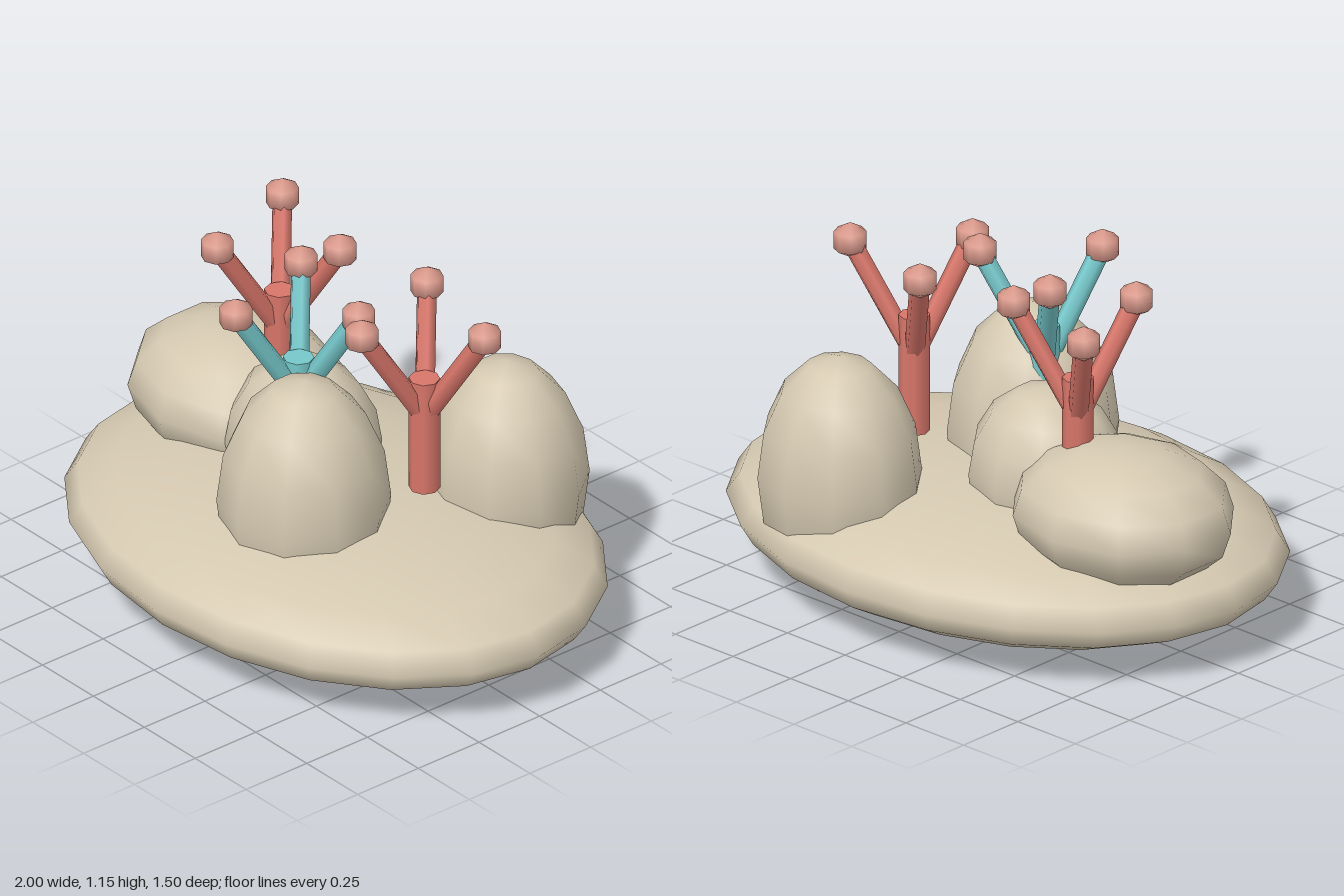
import * as THREE from 'three';

export function createModel() {
  const model = new THREE.Group();
  model.name = 'coralReef';
  const material = (name, color) => {
    const m = new THREE.MeshStandardMaterial({ color });
    m.name = name;
    return m;
  };
  const sand = material('sandstone', 0xd4c8b0);
  const red = material('redCoral', 0xd8766a);
  const teal = material('tealCoral', 0x76c8cb);
  const pink = material('pinkTip', 0xdc9a8c);

  const add = (parent, name, geometry, mat) => {
    const mesh = new THREE.Mesh(geometry, mat);
    mesh.name = name;
    parent.add(mesh);
    return mesh;
  };

  // Broad oval reef bed
  const bed = new THREE.SphereGeometry(1, 20, 10).scale(1, 0.22, 0.75);
  add(model, 'reefBed', bed, sand).position.y = 0.22;

  // Rounded rocks: name, centre, radii
  const rocks = [
    ['wideRock', [-0.58, 0.46, -0.085], [0.39, 0.225, 0.328]],
    ['smallRock', [-0.19, 0.46, -0.025], [0.265, 0.295, 0.24]],
    ['tallFrontRock', [0.08, 0.46, 0.2], [0.28, 0.43, 0.275]],
    ['tallBackRock', [0.325, 0.425, -0.43], [0.275, 0.407, 0.256]],
  ];
  for (const [name, centre, radii] of rocks) {
    const rock = new THREE.SphereGeometry(1, 10, 8).rotateY(Math.PI / 2).scale(...radii);
    add(model, name, rock, sand).position.set(...centre);
  }

  // Branching coral: trunk, three slanted branches, a round tip on each
  const trunk = new THREE.CylinderGeometry(0.05, 0.05, 0.4, 8);
  const tip = new THREE.SphereGeometry(0.06, 8, 3);
  const up = new THREE.Vector3(0, 1, 0);
  const addCoral = (name, x, z, mat) => {
    const coral = new THREE.Group();
    coral.name = name;
    coral.position.set(x, 0, z);
    add(coral, 'trunk', trunk, mat).position.y = 0.68;
    const start = new THREE.Vector3(0, 0.74, 0);
    for (let i = 0; i < 3; i++) {
      const angle = THREE.MathUtils.degToRad(-18 + i * 120);
      const end = new THREE.Vector3(0.224 * Math.cos(angle), 1.095, 0.224 * Math.sin(angle));
      const along = end.clone().sub(start);
      const branch = add(coral, 'branch', new THREE.CylinderGeometry(0.033, 0.033, along.length(), 6), mat);
      branch.position.copy(start).lerp(end, 0.5);
      branch.quaternion.setFromUnitVectors(up, along.normalize());
      add(coral, 'tip', tip, pink).position.copy(end);
    }
    model.add(coral);
  };
  addCoral('leftCoral', 0.3, -0.113, red);
  addCoral('rightCoral', -0.41, -0.113, red);
  addCoral('middleCoral', -0.055, 0.108, teal);

  return model;
}
